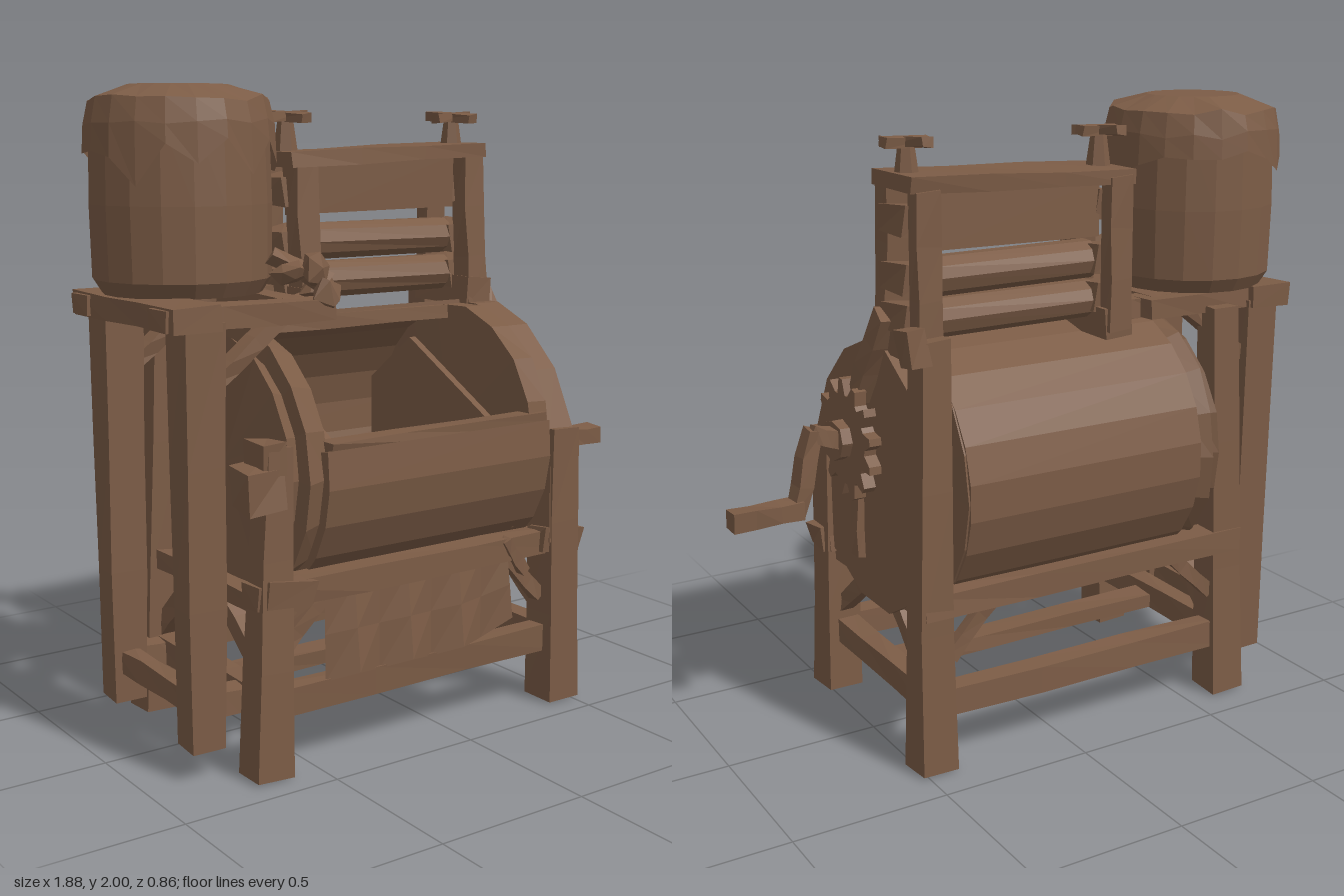
import * as THREE from 'three';

const wood = new THREE.MeshStandardMaterial({ color: 0x7c5c46, flatShading: true, side: THREE.DoubleSide });
wood.name = 'brown wood';

// repeatable pseudo-random value in -1..1 from a position
const hash = (x, y, z) => {
  const s = Math.sin(Math.round(x * 500) * 12.99 + Math.round(y * 500) * 78.23 + Math.round(z * 500) * 37.72) * 43758.55;
  return (s - Math.floor(s)) * 2 - 1;
};

// rough-hewn look: shared corners move together
function roughen(geo, amount) {
  const p = geo.attributes.position;
  for (let i = 0; i < p.count; i++) {
    const x = p.getX(i), y = p.getY(i), z = p.getZ(i);
    p.setXYZ(i, x + hash(x, y, z) * amount, y + hash(y, z, x) * amount, z + hash(z, x, y) * amount);
  }
  geo.computeVertexNormals();
  return geo;
}

export function createModel() {
  const model = new THREE.Group();
  model.name = 'handCrankedWasher';
  const add = (name, geo, x = 0, y = 0, z = 0) => {
    const m = new THREE.Mesh(geo, wood);
    m.name = name;
    m.position.set(x, y, z);
    model.add(m);
    return m;
  };
  // box given by its limits on each axis
  const box = (name, x0, x1, y0, y1, z0, z1, r = 0.005) =>
    add(name, roughen(new THREE.BoxGeometry(x1 - x0, y1 - y0, z1 - z0), r), (x0 + x1) / 2, (y0 + y1) / 2, (z0 + z1) / 2);
  // timber from a to b, w and d across, tapering by t
  const beam = (name, a, b, w, d, t = 1, r = 0.005) => {
    const A = new THREE.Vector3(...a), B = new THREE.Vector3(...b), dir = B.clone().sub(A);
    const len = dir.length(), g = new THREE.BoxGeometry(w, len, d, 1, 3, 1), p = g.attributes.position;
    for (let i = 0; i < p.count; i++) {
      const k = 1 + (t - 1) * (p.getY(i) / len + 0.5);
      p.setX(i, p.getX(i) * k);
      p.setZ(i, p.getZ(i) * k);
    }
    const m = add(name, roughen(g, r));
    m.position.copy(A.add(B).multiplyScalar(0.5));
    m.quaternion.setFromUnitVectors(new THREE.Vector3(0, 1, 0), dir.normalize());
    return m;
  };
  // round part with its axis along x
  const roundX = (name, x0, x1, y, z, r0, r1, sides) =>
    add(name, roughen(new THREE.CylinderGeometry(r0, r1, x1 - x0, sides).rotateZ(Math.PI / 2), 0.004), (x0 + x1) / 2, y, z);
  // profile drawn in (z, y), extruded along x
  const extrudeX = (name, pts, x0, x1) => {
    const shape = new THREE.Shape(pts.map(([z, y]) => new THREE.Vector2(-z, y)));
    const g = new THREE.ExtrudeGeometry(shape, { depth: x1 - x0, bevelEnabled: false });
    return add(name, g.rotateY(Math.PI / 2), x0, 0, 0);
  };

  // main frame legs
  beam('frontLeg', [-0.66, 0, 0.36], [-0.62, 0.98, 0.36], 0.12, 0.12, 0.65);
  beam('frontLeg', [0.46, 0, 0.36], [0.44, 0.92, 0.37], 0.12, 0.12, 0.95);
  beam('backLeg', [-0.66, 0, -0.33], [-0.62, 1.34, -0.3], 0.12, 0.12, 0.75);
  beam('backLeg', [0.46, 0, -0.33], [0.44, 1.36, -0.315], 0.12, 0.12, 0.75);
  box('legBracket', -0.73, -0.6, 0.8, 0.93, 0.29, 0.41, 0.012);
  box('legBracket', -0.68, -0.6, 0.9, 1.0, 0.3, 0.4, 0.01);
  box('legCap', 0.47, 0.53, 1.28, 1.4, -0.37, -0.28, 0.015);

  // rails around the frame
  for (const z of [0.35, -0.33]) {
    beam('lowerLongRail', [-0.64, 0.215, z], [0.44, 0.215, z], 0.09, 0.07);
    beam('upperLongRail', [-0.7, 0.545, z], [0.5, 0.545, z], 0.075, 0.09);
  }
  for (const x of [-0.64, 0.44]) {
    beam('lowerSideRail', [x, 0.215, -0.33], [x, 0.215, 0.36], 0.07, 0.085);
    beam('upperSideRail', [x, 0.51, -0.33], [x, 0.51, 0.36], 0.07, 0.06);
    beam('sideBrace', [x, 0.3, 0.33], [x, 0.48, 0.1], 0.05, 0.05);
    beam('sideBrace', [x, 0.25, -0.32], [x, 0.49, -0.06], 0.05, 0.065);
  }
  for (const [x, s] of [[-0.6, 1], [0.4, -1]])
    for (const z of [0.35, -0.33])
      beam('cornerBrace', [x, 0.36, z], [x + s * 0.17, 0.53, z], 0.045, 0.045);
  beam('floorSlat', [-0.62, 0.2, 0.04], [0.44, 0.2, 0.04], 0.05, 0.09);
  for (const x of [-0.6, 0.44]) box('jointBlock', x - 0.08, x + 0.08, 0.51, 0.59, 0.33, 0.42, 0.012);

  // drum shell, open at the upper front
  const CY = 0.87, arc = [], steps = 18, from = 0.2, to = Math.PI * 0.53 - Math.PI * 2;
  const at = (r, i) => {
    const a = from + (to - from) * i / steps;
    return [Math.cos(a) * r, CY + Math.sin(a) * r];
  };
  for (let i = 0; i <= steps; i++) arc.push(at(0.432, i));
  for (let i = steps; i >= 0; i--) arc.push(at(0.395, i));
  extrudeX('drumShell', arc, -0.475, 0.37);
  beam('drumLip', [-0.46, 0.965, 0.385], [0.36, 0.965, 0.385], 0.03, 0.07);
  beam('drumBackLip', [-0.46, 1.265, -0.04], [0.36, 1.265, -0.04], 0.045, 0.05);

  // drum end discs, chamfered on the left, and the outer side panel
  roundX('drumEnd', -0.58, -0.53, CY, 0, 0.39, 0.36, 18);
  roundX('drumEndRim', -0.535, -0.45, CY, 0, 0.425, 0.39, 18);
  roundX('drumEndRim', 0.3, 0.375, CY, 0, 0.425, 0.425, 18);
  extrudeX('sidePanel', [[0.41, 0.92], [0.42, 0.55], [0.27, 0.51], [0.1, 0.43], [-0.1, 0.43], [-0.29, 0.54],
    [-0.32, 1.15], [-0.1, 1.29], [0.03, 1.29], [0.18, 1.23], [0.32, 1.1]], 0.385, 0.482);

  // slanted paddles inside the drum
  for (const x of [-0.42, 0.19])
    extrudeX('innerPaddle', [[0.34, 0.96], [-0.08, 1.18], [-0.3, 1.02], [-0.3, 0.63], [0, 0.5], [0.26, 0.6]], x, x + 0.025);

  // hanging cloth under the front rail, broad folds and an uneven hem
  const cloth = new THREE.PlaneGeometry(0.69, 0.29, 7, 2), cp = cloth.attributes.position;
  for (let i = 0; i < cp.count; i++) {
    const x = cp.getX(i), y = cp.getY(i), k = 0.5 - y / 0.29, fold = Math.round((x + 0.345) / 0.69 * 7) % 2;
    cp.setXYZ(i, x, y + k * (fold * 0.02 + Math.max(0, x - 0.2) * 0.4), fold * 0.03 * (0.4 + k) - 0.01);
  }
  cloth.computeVertexNormals();
  add('hangingCloth', cloth, -0.115, 0.395, 0.39);
  beam('clothTie', [0.22, 0.58, 0.39], [0.3, 0.46, 0.39], 0.035, 0.03);

  // barrel stand
  for (const z of [0.25, -0.25]) {
    beam('standLeg', [-0.805, 0.09, z], [-0.805, 1.34, z], 0.105, 0.095, 1.22);
    beam('standBeam', [-0.92, 1.35, z], [-0.36, 1.345, z], 0.065, 0.09);
    beam('standBrace', [-0.77, 1.14, z], [-0.53, 1.33, z], 0.045, 0.05);
    beam('standTie', [-0.81, 0.215, z], [-0.64, 0.215, z], 0.07, 0.06);
  }
  beam('standCrossBeam', [-0.83, 1.35, -0.32], [-0.83, 1.35, 0.32], 0.15, 0.07);
  beam('standCrossBeam', [-0.45, 1.35, -0.28], [-0.45, 1.35, 0.28], 0.1, 0.06);
  beam('standRail', [-0.805, 0.215, -0.25], [-0.805, 0.215, 0.25], 0.06, 0.07);
  beam('wringerSupport', [-0.5, 1.345, 0.22], [-0.23, 1.33, -0.06], 0.05, 0.05);
  beam('wringerSupport', [-0.6, 1.345, -0.2], [-0.2, 1.345, -0.2], 0.07, 0.08);

  // barrel with a draped cloth cover
  const BX = -0.655, BZ = -0.09;
  const lathe = (pts, sides) => new THREE.LatheGeometry(pts.map(([r, y]) => new THREE.Vector2(r, y)), sides);
  add('barrel', lathe([[0, 1.385], [0.24, 1.385], [0.268, 1.43], [0.272, 1.65], [0.265, 1.9], [0, 1.93]], 18), BX, 0, BZ);
  const cover = lathe([[0.288, 0], [0.283, 0.08], [0.268, 0.15], [0.15, 0.19], [0, 0.19]], 20), vp = cover.attributes.position;
  for (let i = 0; i < vp.count; i++) {
    const x = vp.getX(i), y = vp.getY(i), z = vp.getZ(i);
    const hem = y < 0.01 ? hash(x, 0.3, z) * 0.08 - 0.03 : 0;
    vp.setY(i, y + hem + (y > 0.01 && y < 0.18 ? hash(x, y, z) * 0.012 : 0));
  }
  cover.computeVertexNormals();
  add('barrelCover', cover, BX, 1.805, BZ);

  // tap and rags beside the barrel
  [[-0.45, 1.45, 0.19, 0.06], [-0.38, 1.46, 0.22, 0.055], [-0.33, 1.42, 0.15, 0.05], [-0.3, 1.39, 0.1, 0.045], [-0.38, 1.39, 0.28, 0.05]]
    .forEach(([x, y, z, r], i) => {
      const m = add('rag', roughen(new THREE.IcosahedronGeometry(r, 0), 0.02), x, y, z);
      m.rotation.set(i, i * 2, i);
      m.scale.y = 0.65;
    });
  beam('tap', [-0.48, 1.5, 0.13], [-0.33, 1.42, 0.22], 0.04, 0.04);

  // wringer frame
  for (const x of [-0.235, 0.43]) {
    beam('wringerPost', [x, 1.27, -0.05], [x, 1.78, -0.085], 0.08, 0.08);
    beam('wringerPost', [x, 1.3, -0.285], [x, 1.78, -0.275], 0.08, 0.06);
    box('wringerFoot', x - 0.045, x + 0.045, 1.28, 1.37, -0.3, -0.01, 0.01);
    for (const y of [1.39, 1.51, 1.68]) box('bearing', x - 0.05, x + 0.05, y - 0.045, y + 0.045, -0.25, -0.1, 0.012);
    // clamp screw with cross handle
    add('clampScrew', new THREE.CylinderGeometry(0.022, 0.04, 0.13, 6), x, 1.85, -0.17);
    for (const a of [0.3, 1.87]) {
      const m = box('clampHandle', x - 0.09, x + 0.09, 1.89, 1.92, -0.19, -0.15, 0.006);
      m.rotation.set(0, a, 0.08);
    }
  }
  beam('wringerTop', [-0.29, 1.775, -0.17], [0.48, 1.795, -0.17], 0.045, 0.26);
  box('pressBoard', -0.2, 0.39, 1.6, 1.77, -0.25, -0.09, 0.01);
  for (const y of [1.51, 1.385]) roundX('roller', -0.2, 0.39, y, -0.17, 0.064, 0.064, 10);

  // gear wheel with uneven teeth
  const GY = 0.98, GZ = 0.045, teeth = [], n = 13;
  for (let i = 0; i < n * 4; i++) {
    const a = i / (n * 4) * Math.PI * 2, r = (i % 4 < 2 ? 0.19 : 0.148) + hash(i, 1, 0) * 0.006;
    teeth.push([GZ + Math.cos(a) * r, GY + Math.sin(a) * r]);
  }
  extrudeX('gear', teeth, 0.515, 0.555);
  roundX('gearHub', 0.44, 0.59, GY, GZ, 0.065, 0.065, 8);
  beam('gearLever', [0.51, 1.12, 0.02], [0.49, 1.4, -0.13], 0.05, 0.07);
  beam('gearPin', [0.5, 0.57, 0.08], [0.5, 0.85, 0.07], 0.025, 0.04);

  // crank
  beam('crankAxle', [0.56, 0.98, 0.04], [0.67, 1.02, 0.035], 0.06, 0.06, 0.8);
  beam('crankArm', [0.66, 1.03, 0.035], [0.73, 0.77, 0.03], 0.05, 0.055);
  beam('crankHandle', [0.71, 0.785, 0.03], [0.945, 0.785, 0.03], 0.055, 0.065);

  return model;
}
